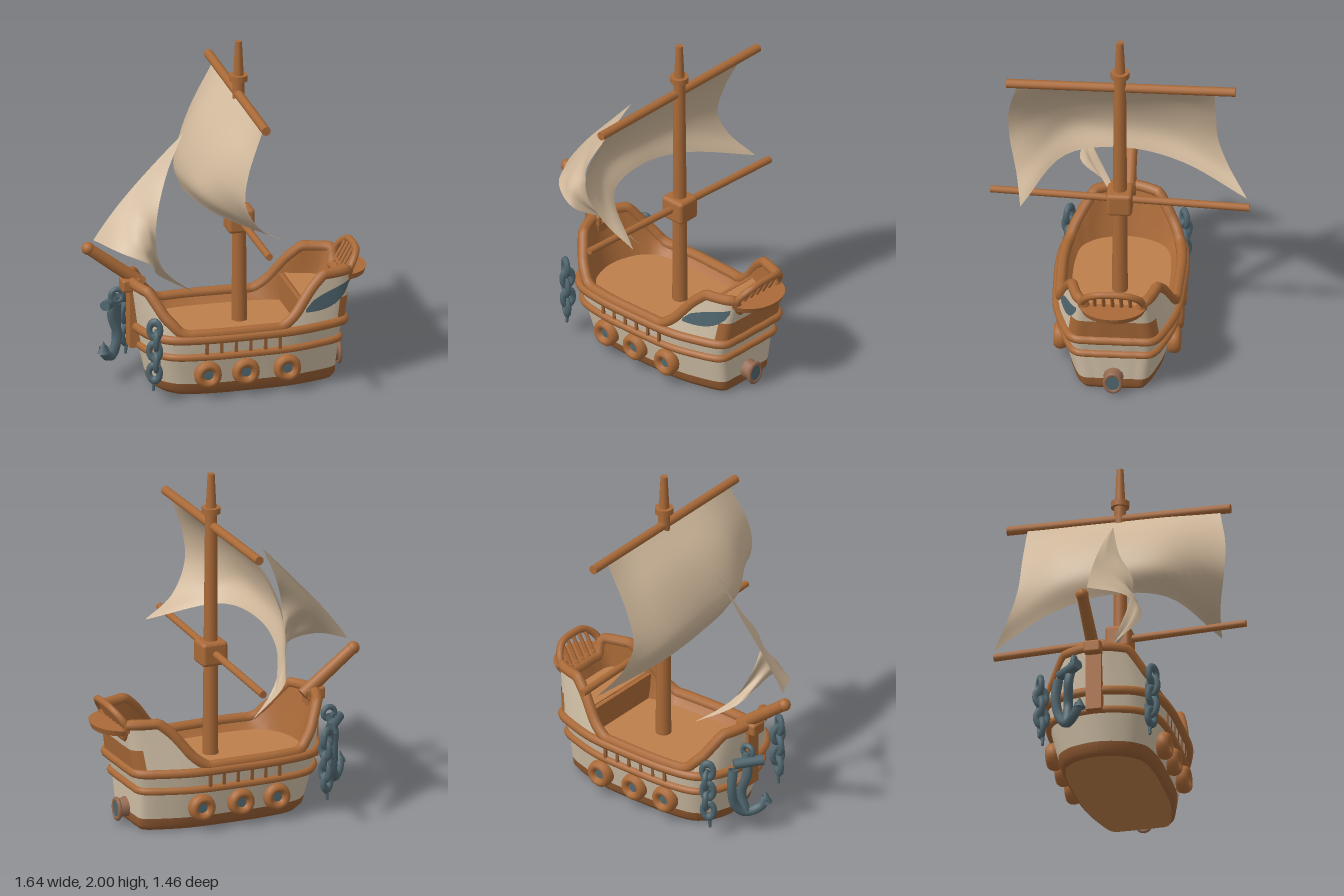
import * as THREE from 'three';
import { RoundedBoxGeometry } from 'three/addons/geometries/RoundedBoxGeometry.js';

const V = (x, y, z) => new THREE.Vector3(x, y, z);
const mat = (name, color) => {
  const m = new THREE.MeshStandardMaterial({ color, side: THREE.DoubleSide });
  m.name = name;
  return m;
};

// Smooth surface through rows of points
function surface(rows) {
  const n = rows[0].length, pos = [], idx = [];
  rows.forEach(r => r.forEach(p => pos.push(p.x, p.y, p.z)));
  for (let i = 0; i < rows.length - 1; i++) for (let j = 0; j < n - 1; j++) {
    const a = i * n + j, b = a + n;
    idx.push(a, a + 1, b, a + 1, b + 1, b);
  }
  const g = new THREE.BufferGeometry();
  g.setAttribute('position', new THREE.Float32BufferAttribute(pos, 3));
  g.setIndex(idx);
  g.computeVertexNormals();
  return g;
}

// Dense smooth patch from a coarse grid of control points
function cloth(ctrl, n = 24) {
  const fine = pts => new THREE.CatmullRomCurve3(pts.map(p => p.isVector3 ? p : V(...p))).getPoints(n);
  const rows = ctrl.map(fine), out = [];
  const cols = rows[0].map((_, j) => fine(rows.map(r => r[j])));
  for (let i = 0; i <= n; i++) out.push(cols.map(c => c[i]));
  return surface(out);
}

// Hull shape: plan outline (0..1 along, 0..1 across) scaled by height
const half = [[0, 0], [0.015, 0.35], [0.06, 0.7], [0.14, 0.92], [0.3, 1], [0.5, 1], [0.72, 0.96],
  [0.87, 0.83], [0.98, 0.67], [1, 0.35], [1, 0]];
const loop = [...half, ...half.slice(1, -1).reverse().map(([t, h]) => [t, -h])];
const plan = new THREE.CatmullRomCurve3(loop.map(([t, h]) => V(t, 0, h)), true).getSpacedPoints(120);
const levels = [0, 0.03, 0.25, 0.37, 0.66];
const bowX = [-0.42, -0.45, -0.5, -0.52, -0.56];
const sternX = [0.58, 0.6, 0.61, 0.64, 0.69];
const widths = [0.25, 0.275, 0.325, 0.345, 0.295];
function lerpTable(xs, ys, x) {
  let i = 0;
  while (i < xs.length - 2 && x > xs[i + 1]) i++;
  const k = THREE.MathUtils.clamp((x - xs[i]) / (xs[i + 1] - xs[i]), 0, 1);
  return ys[i] + (ys[i + 1] - ys[i]) * k;
}
function hullPoint(q, y, off = 0) {
  const b = lerpTable(levels, bowX, y) - off, s = lerpTable(levels, sternX, y) + off;
  return V(b + (s - b) * q.x, y, q.z * (lerpTable(levels, widths, y) + off));
}
// Height of the bulwark along the hull
function sheer(q) {
  const h = lerpTable([-0.52, -0.47, -0.41, -0.33, 0.25, 0.32, 0.42, 0.48, 0.64],
    [0.62, 0.61, 0.48, 0.385, 0.385, 0.43, 0.58, 0.645, 0.645], -0.52 + 1.16 * q.x);
  return q.x > 0.95 ? lerpTable([0.45, 0.62], [0.56, h], Math.abs(q.z)) : h;
}
const band = ys => surface(ys.map(y => plan.map(q => hullPoint(q, y))));
const bulwark = (y0, off0, off1) => [0, 0.33, 0.67, 1].map(k =>
  plan.map(q => hullPoint(q, y0 + (sheer(q) - y0) * k, off0 + (off1 - off0) * k)));
function flat(pts, y) {
  const g = new THREE.ShapeGeometry(new THREE.Shape(pts.map(p => new THREE.Vector2(p.x, -p.z))));
  return g.rotateX(-Math.PI / 2).translate(0, y, 0);
}

export function createModel() {
  const ship = new THREE.Group();
  ship.name = 'sailingShip';
  const wood = mat('wood', 0xaa6a38), deckWood = mat('deckWood', 0xbd7f4b), dark = mat('darkWood', 0x955d33);
  const paint = mat('palePaint', 0xd0bfa6), canvas = mat('canvas', 0xd0b89b), iron = mat('slateIron', 0x50666e);
  const worn = mat('wornWood', 0x94694f);

  const add = (name, geo, m, x = 0, y = 0, z = 0) => {
    const mesh = new THREE.Mesh(geo, m);
    mesh.name = name;
    mesh.position.set(x, y, z);
    ship.add(mesh);
    return mesh;
  };
  const tube = (name, pts, r, m, closed = false, seg = 32) => add(name,
    new THREE.TubeGeometry(new THREE.CatmullRomCurve3(pts, closed), seg, r, 8, closed), m);
  const spar = (name, a, b, r0, r1, m) => {
    const d = b.clone().sub(a);
    const s = add(name, new THREE.CylinderGeometry(r1, r0, d.length(), 12), m);
    s.position.copy(a).addScaledVector(d, 0.5);
    s.quaternion.setFromUnitVectors(V(0, 1, 0), d.normalize());
    return s;
  };

  // Hull planking
  add('hullBottom', flat(plan.slice(0, -1).map(q => hullPoint(q, 0)), 0), deckWood);
  add('lowerHull', band([0, 0.012, 0.03, 0.075]), dark);
  add('paintedHull', band([0.075, 0.15, 0.25]), paint);
  add('upperHull', band([0.25, 0.31, 0.37]), paint);
  add('bulwarkOutside', surface(bulwark(0.37, 0, 0)), paint);
  add('bulwarkInside', surface(bulwark(0.33, -0.07, -0.03).reverse()), wood);

  // Rails around the hull
  const ring = plan.slice(0, -1);
  tube('lowerRail', ring.map(q => hullPoint(q, 0.25, 0.006)), 0.022, wood, true, 140);
  tube('middleRail', ring.map(q => hullPoint(q, 0.36, 0.006)), 0.027, wood, true, 140);
  tube('topRail', ring.map(q => hullPoint(q, sheer(q), -0.012)), 0.031, wood, true, 200);

  // Ribs between the rails
  for (const s of [1, -1]) for (let i = 0; i < 6; i++)
    add('rib', new THREE.BoxGeometry(0.018, 0.09, 0.014), dark, -0.19 + i * 0.085, 0.305, s * 0.334);

  // Decks
  add('mainDeck', flat(ring.map(q => hullPoint(q, 0.33, -0.06)), 0.335), deckWood);
  const aft = ring.map(q => hullPoint(q, 0.49, -0.035)).filter(p => p.x > 0.38);
  add('quarterDeck', flat(aft, 0.49), deckWood);
  add('quarterBulkhead', new THREE.BoxGeometry(0.02, 0.16, 0.53), wood, 0.39, 0.405, 0);

  // Stern boards and side window
  const stern = plan.filter(q => q.x > 0.94);
  add('sternBoard', surface([0.38, 0.44, 0.5].map(y => stern.map(q => hullPoint(q, y, 0.006)))), wood);
  const side = plan.filter(q => q.z > 0.6 && q.x > 0.765 && q.x < 0.99);
  add('sternWindow', surface([0, 0.5, 1].map(k => side.map((q, i) => {
    const t = i / (side.length - 1);
    const lo = 0.455 - 0.02 * t + 0.125 * t ** 3, hi = 0.475 + 0.115 * Math.sqrt(t);
    return hullPoint(q, lo + (hi - lo) * k, 0.007);
  }))), iron);

  // Stern balcony with arched railing
  const floor = add('balconyFloor', new THREE.CylinderGeometry(1, 0.92, 0.035, 24, 1, false, 0, Math.PI), wood, 0.655, 0.595, 0);
  floor.scale.set(0.16, 1, 0.19);
  const arch = [[0.66, 0.6, 0.175], [0.7, 0.67, 0.16], [0.735, 0.72, 0.1]];
  tube('balconyArch', [...arch.map(p => V(...p)), V(0.742, 0.732, 0),
    ...arch.slice().reverse().map(([x, y, z]) => V(x, y, -z))], 0.021, wood);
  for (const z of [-0.1, -0.05, 0, 0.05, 0.1])
    spar('baluster', V(0.66, 0.59, z), V(0.735, 0.725, z), 0.011, 0.011, wood);

  // Gun ports on both sides
  for (const s of [1, -1]) for (const x of [-0.18, 0.04, 0.28]) {
    const rim = add('portRim', new THREE.TorusGeometry(0.053, 0.027, 10, 24), wood, x, 0.14, s * 0.318);
    rim.scale.z = 1.5;
    const hole = add('portHole', new THREE.CylinderGeometry(0.04, 0.04, 0.04, 20), iron, x, 0.14, s * 0.31);
    hole.rotation.x = Math.PI / 2;
  }

  // Stern gun
  spar('sternGun', V(0.55, 0.1, 0), V(0.66, 0.085, 0), 0.065, 0.05, worn);
  const lip = add('sternGunLip', new THREE.TorusGeometry(0.045, 0.012, 8, 20), worn, 0.66, 0.085, 0);
  lip.rotation.y = Math.PI / 2;
  lip.scale.y = 1.25;
  const muzzle = spar('sternGunMuzzle', V(0.64, 0.085, 0), V(0.668, 0.085, 0), 0.04, 0.04, iron);
  muzzle.scale.x = 1.25;

  // Bow stem and bowsprit
  add('bowStem', new THREE.BoxGeometry(0.06, 0.37, 0.09), wood, -0.53, 0.42, 0);
  add('bowCollar', new RoundedBoxGeometry(0.11, 0.075, 0.1, 2, 0.015), wood, -0.55, 0.605, 0);
  spar('bowsprit', V(-0.48, 0.6, -0.01), V(-0.79, 0.835, -0.01), 0.038, 0.033, wood);
  add('bowspritKnob', new THREE.SphereGeometry(0.037, 14, 10), wood, -0.79, 0.835, -0.01);

  // Mast with collar block and cap
  spar('mast', V(0.085, 0.32, 0), V(0.08, 1.8, 0), 0.045, 0.034, wood);
  spar('topMast', V(0.08, 1.78, 0), V(0.08, 2, 0), 0.031, 0.02, wood);
  spar('mastCap', V(0.08, 1.765, 0), V(0.08, 1.8, 0), 0.053, 0.053, wood);
  add('mastBlock', new RoundedBoxGeometry(0.155, 0.14, 0.145, 2, 0.022), wood, 0.083, 0.94, 0);

  // Yards
  spar('upperYard', V(0.075, 1.69, 0.64), V(0.075, 1.69, -0.65), 0.026, 0.026, wood);
  spar('lowerYard', V(0.07, 0.968, 0.73), V(0.088, 0.92, -0.73), 0.02, 0.022, wood);

  // Main sail, columns from one yard end to the other
  add('mainSail', cloth([
    [[0.07, 1.67, 0.58], [-0.03, 1.42, 0.635], [-0.04, 1.25, 0.63], [0.06, 1.08, 0.585], [0.24, 0.97, 0.55]],
    [[0.07, 1.68, 0.32], [-0.1, 1.5, 0.34], [-0.18, 1.34, 0.34], [-0.2, 1.21, 0.33], [-0.12, 1.09, 0.32]],
    [[0.07, 1.68, 0], [-0.12, 1.5, 0], [-0.22, 1.32, 0], [-0.24, 1.2, 0], [-0.2, 1.1, 0]],
    [[0.07, 1.68, -0.29], [-0.1, 1.5, -0.29], [-0.2, 1.3, -0.29], [-0.22, 1.17, -0.3], [-0.17, 1.04, -0.33]],
    [[0.06, 1.67, -0.53], [-0.07, 1.42, -0.53], [-0.13, 1.22, -0.54], [-0.1, 1.07, -0.6], [0, 0.92, -0.71]],
  ]), canvas);

  // Fore sail, rows from the head down to the foot
  const head = [-0.255, 1.49, 0.04];
  add('foreSail', cloth([
    [head, head, head, head, head],
    [[-0.44, 1.29, 0.015], [-0.425, 1.285, 0.04], [-0.405, 1.28, 0.06], [-0.385, 1.275, 0.08], [-0.365, 1.27, 0.1]],
    [[-0.61, 1.1, 0.01], [-0.57, 1.08, 0.065], [-0.53, 1.07, 0.115], [-0.49, 1.05, 0.165], [-0.45, 1.02, 0.205]],
    [[-0.71, 0.97, 0.01], [-0.63, 0.94, 0.15], [-0.54, 0.91, 0.235], [-0.46, 0.85, 0.21], [-0.38, 0.7, 0.07]],
    [[-0.765, 0.89, 0.01], [-0.65, 0.87, 0.21], [-0.5, 0.81, 0.265], [-0.4, 0.66, 0.05], [-0.16, 0.5, -0.03]],
  ]), canvas);

  // Anchor hanging at the bow
  tube('anchorShank', [V(-0.6, 0.5, -0.11), V(-0.62, 0.38, -0.13), V(-0.585, 0.25, -0.14), V(-0.615, 0.14, -0.14)], 0.028, iron);
  tube('anchorArms', [V(-0.69, 0.21, -0.05), V(-0.67, 0.16, -0.08), V(-0.615, 0.135, -0.14), V(-0.58, 0.19, -0.19),
    V(-0.575, 0.31, -0.215), V(-0.575, 0.42, -0.2)], 0.028, iron);
  spar('anchorStock', V(-0.68, 0.46, -0.06), V(-0.57, 0.45, -0.19), 0.03, 0.03, iron);
  add('anchorFluke', new THREE.ConeGeometry(0.036, 0.07, 8), iron, -0.69, 0.22, -0.05);
  add('anchorRing', new THREE.TorusGeometry(0.035, 0.016, 8, 18), iron, -0.6, 0.505, -0.1);

  // Chains on both bows
  for (const s of [1, -1]) {
    for (let i = 0; i < 5; i++) {
      const link = add('chainLink', new THREE.TorusGeometry(0.032, 0.018, 8, 16), iron,
        -0.49 + (i % 2) * 0.012, 0.44 - i * 0.065, s * (0.325 - i * 0.002));
      link.scale.y = 1.4;
      link.rotation.y = (i % 2 ? 1.2 : -0.5) * s;
    }
    spar('chainEnd', V(-0.49, 0.15, s * 0.31), V(-0.495, 0.07, s * 0.31), 0.014, 0.008, iron);
  }
  return ship;
}
